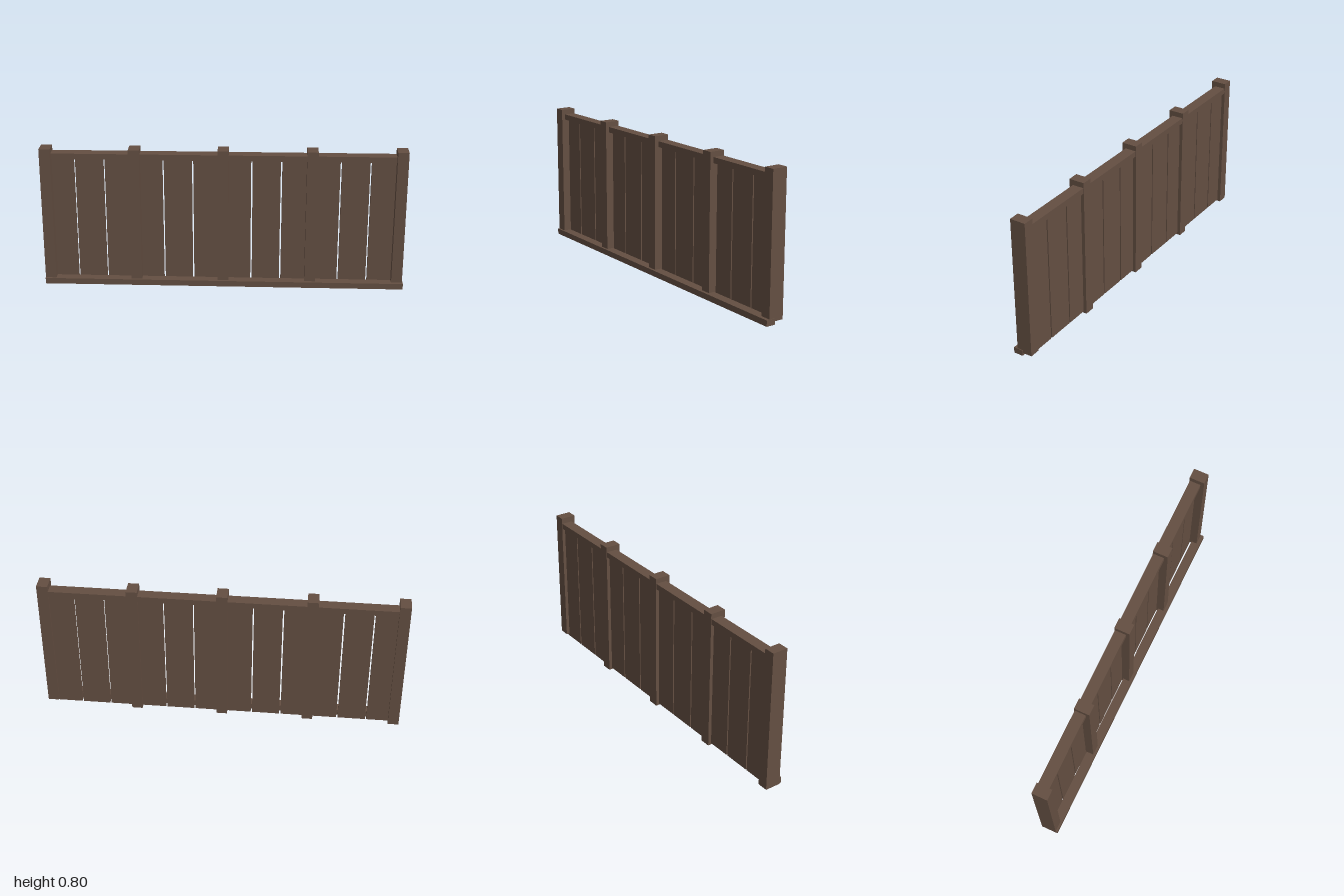
import * as THREE from 'three';

export function createModel() {
  const group = new THREE.Group();
  const wood = new THREE.MeshStandardMaterial({ color: 0x644f42 });
  wood.name = 'brown wood';

  // Box given by its extents along each axis
  function beam(name, [x0, x1], [y0, y1], [z0, z1]) {
    const mesh = new THREE.Mesh(new THREE.BoxGeometry(x1 - x0, y1 - y0, z1 - z0), wood);
    mesh.name = name;
    mesh.position.set((x0 + x1) / 2, (y0 + y1) / 2, (z0 + z1) / 2);
    group.add(mesh);
    return mesh;
  }

  // Five posts; the last one stops just above the ground
  [-0.97, -0.486, -0.002, 0.482, 0.966].forEach((x, i) => {
    const last = i === 4;
    beam('post', [x - 0.03, x + 0.03], [last ? 0.022 : 0, last ? 0.8 : 0.796], [-0.053, 0.034]);
  });

  // Upright boards with narrow gaps
  const pitch = 0.1615, gap = 0.008;
  for (let i = 0; i < 12; i++) {
    const x = -0.977 + i * pitch;
    beam('board', [x + gap / 2, x + pitch - gap / 2], [0.008, 0.75], [-0.034, -0.012]);
  }

  // Rail capping the boards
  beam('topRail', [-0.97, 0.97], [0.735, 0.767], [-0.05, 0.013]);

  // Ground rail along the front, set very slightly askew
  const ground = beam('groundRail', [-1, 1], [0.006, 0.039], [-0.004, 0.049]);
  ground.rotation.y = -0.005;

  return group;
}
